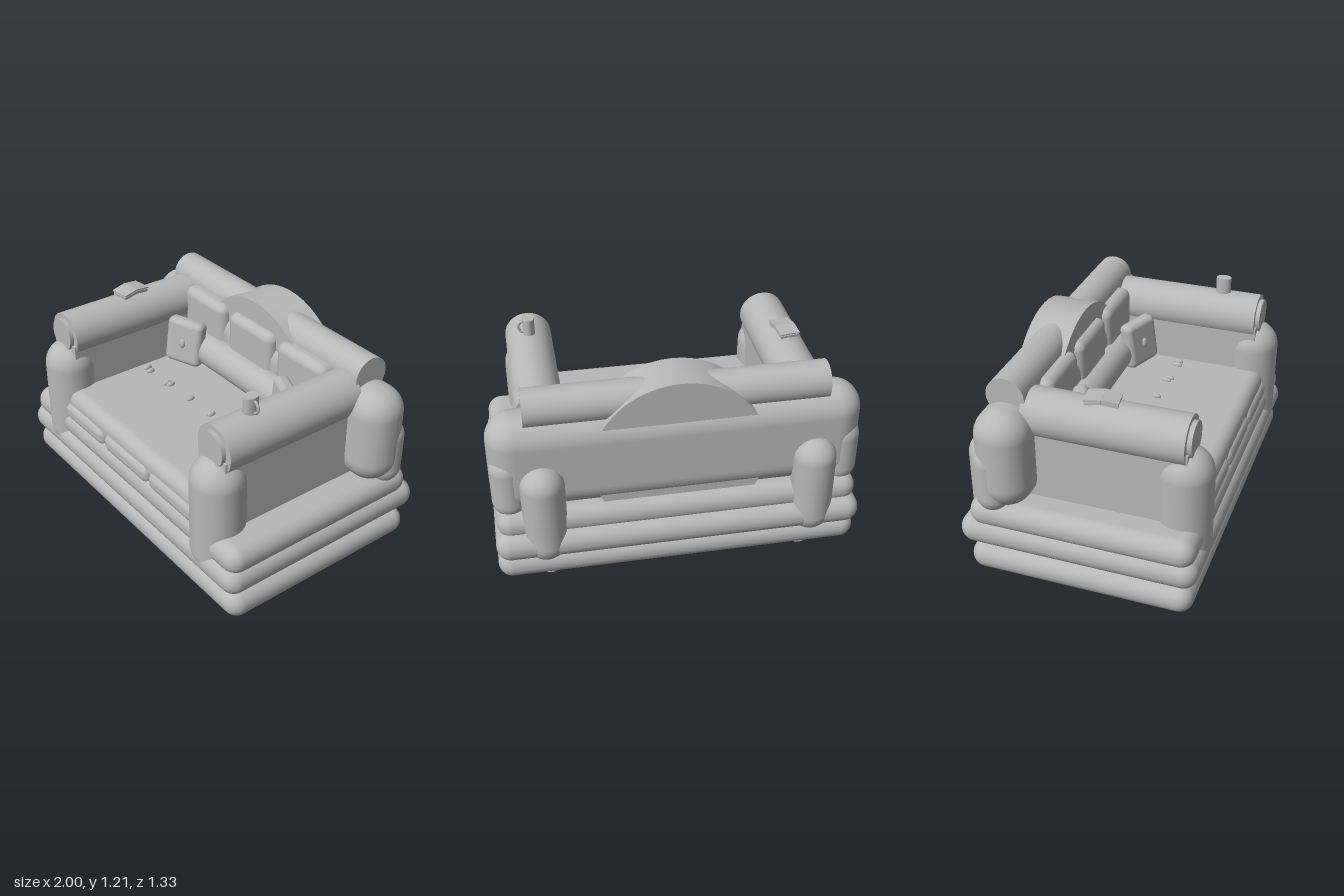
import * as THREE from 'three';
import { RoundedBoxGeometry } from 'three/addons/geometries/RoundedBoxGeometry.js';

export function createModel() {
  const model = new THREE.Group();
  model.name = 'sofa';
  const grey = new THREE.MeshStandardMaterial({ color: 0xb8b8b8 });
  grey.name = 'soft grey';

  const add = (name, geometry, x, y, z, parent = model) => {
    const mesh = new THREE.Mesh(geometry, grey);
    mesh.name = name;
    mesh.position.set(x, y, z);
    parent.add(mesh);
    return mesh;
  };
  // Rounded box given by its limits on each axis
  const pad = (name, [x0, x1], [y0, y1], [z0, z1], radius) => add(name,
    new RoundedBoxGeometry(x1 - x0, y1 - y0, z1 - z0, 6, radius),
    (x0 + x1) / 2, (y0 + y1) / 2, (z0 + z1) / 2);
  const post = (name, x, z, y0, y1, r) => add(name,
    new THREE.CapsuleGeometry(r, y1 - y0 - 2 * r, 10, 32), x, (y0 + y1) / 2, z);
  const cylinder = (name, r, length, axis, x, y, z) => {
    const g = new THREE.CylinderGeometry(r, r, length, 48);
    if (axis === 'x') g.rotateZ(Math.PI / 2);
    if (axis === 'z') g.rotateX(Math.PI / 2);
    return add(name, g, x, y, z);
  };
  const button = (name, x, y, z, sx, sy, sz, parent) => {
    const g = new THREE.SphereGeometry(1, 16, 12);
    g.scale(sx, sy, sz);
    return add(name, g, x, y, z, parent);
  };

  // Stacked base
  pad('lowerBase', [-1, 1], [0.07, 0.23], [-0.59, 0.64], 0.078);
  pad('middleBase', [-1, 1], [0.23, 0.395], [-0.645, 0.66], 0.08);
  pad('upperBase', [-0.985, 0.985], [0.345, 0.51], [-0.59, 0.64], 0.08);

  // Seat with three front cushions
  pad('seat', [-0.64, 0.64], [0.49, 0.66], [-0.32, 0.61], 0.07);
  for (const [a, b] of [[-0.64, -0.22], [-0.22, 0.22], [0.22, 0.64]])
    pad('seatCushion', [a, b], [0.465, 0.585], [0.25, 0.63], 0.05);
  for (const x of [0.1, 0.295, 0.32, 0.49, 0.535])
    for (const side of [-1, 1])
      button('seatButton', side * x, 0.664, x === 0.32 || x === 0.49 ? 0.11 : 0.1, 0.014, 0.018, 0.028);

  // Backrest, top roll, crest and back cushions
  pad('backrest', [-1, 1], [0.48, 1.04], [-0.55, -0.25], 0.145);
  cylinder('topRoll', 0.105, 1.6, 'x', 0, 1.07, -0.405);
  cylinder('crest', 0.47, 0.25, 'z', 0, 0.735, -0.405);
  for (const x of [-0.425, 0, 0.425])
    pad('backCushion', [x - 0.19, x + 0.19], [0.68, 1.08], [-0.39, -0.23], 0.05);
  cylinder('bolster', 0.1, 1.2, 'x', 0, 0.76, -0.235);

  for (const s of [-1, 1]) {
    // Arm block with roll, end disc and padded posts
    add('armPanel', new THREE.BoxGeometry(0.22, 0.48, 0.9), s * 0.7, 0.69, 0.1);
    cylinder('armRoll', 0.132, 0.86, 'z', s * 0.705, 0.96, 0.11);
    cylinder('armEndDisc', 0.095, 0.03, 'z', s * 0.705, 0.97, 0.55);
    post('frontPost', s * 0.71, 0.52, 0.21, 0.92, 0.145);
    post('backPost', s * 0.73, -0.545, 0.2, 0.79, 0.117);
    post('cornerPad', s * 0.9, -0.455, 0.45, 0.84, 0.097);

    // Feet
    cylinder('frontFoot', 0.05, 0.1, 'y', s * 0.71, 0.05, 0.43);
    cylinder('rearFoot', 0.05, 0.1, 'y', s * 0.71, 0.05, -0.38);
    cylinder('rearFootBlock', 0.045, 0.1, 'y', s * 0.715, 0.05, -0.435);

    // Throw pillow turned inwards
    const pillow = new THREE.Group();
    pillow.name = 'throwPillow';
    pillow.position.set(s * 0.45, 0.81, -0.125);
    pillow.rotation.set(-0.1, -s * 0.43, s * 0.06, 'YXZ');
    add('pillowPad', new RoundedBoxGeometry(0.235, 0.28, 0.09, 5, 0.035), 0, 0, 0, pillow);
    button('pillowButton', 0, 0, 0.046, 0.02, 0.03, 0.014, pillow);
    model.add(pillow);
  }

  // Open book lying face down on the right arm
  const book = new THREE.Group();
  book.name = 'book';
  book.position.set(-0.708, 1.095, 0.085);
  book.rotation.y = 0.13;
  for (const s of [-1, 1]) {
    const cover = add('bookCover', new THREE.BoxGeometry(0.115, 0.008, 0.09), 0, 0.026, s * 0.044, book);
    const pages = add('bookPages', new THREE.BoxGeometry(0.105, 0.016, 0.085), 0, 0.008, s * 0.043, book);
    cover.rotation.x = pages.rotation.x = s * 0.15;
  }
  model.add(book);

  // Mug on the left arm
  const mug = cylinder('mug', 0.044, 0.11, 'y', 0.705, 1.127, 0.318);
  mug.scale.x = 0.75;
  const handle = add('mugHandle', new THREE.TorusGeometry(0.03, 0.008, 10, 24), 0.733, 1.13, 0.318);
  handle.scale.y = 1.1;

  return model;
}
